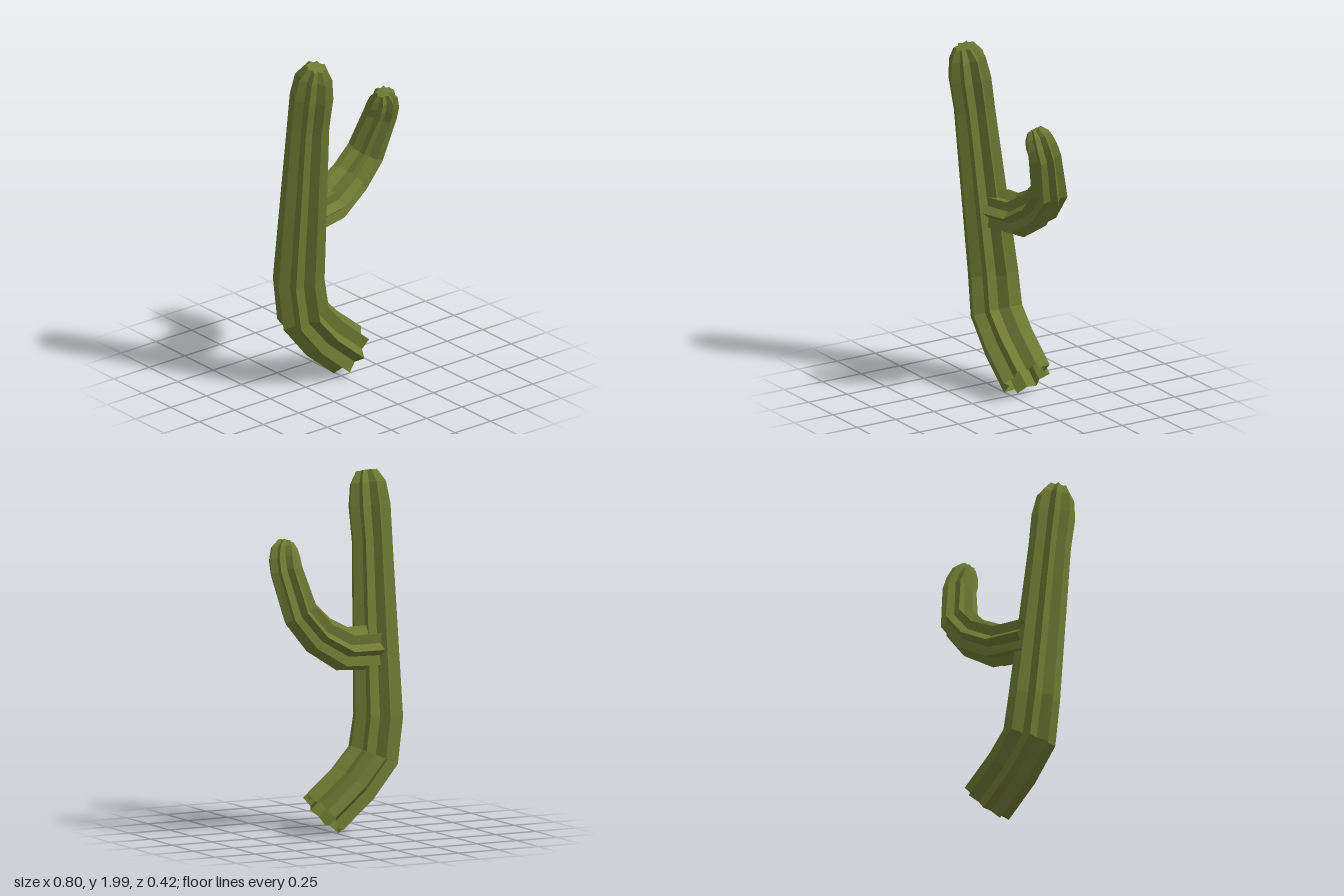
import * as THREE from 'three';

const RIBS = 8;
const VALLEY = 0.7; // valley radius relative to rib radius

// Sweeps a ribbed star section through rings of [x, y, z, radius]; the tip is capped, the base is open.
function ribbedStem(rings) {
  const centres = rings.map(([x, y, z]) => new THREE.Vector3(x, y, z));
  const last = rings.length - 1;
  const direction = (i) => centres[i + 1].clone().sub(centres[i]).normalize();
  const sides = RIBS * 2;

  const loops = rings.map((ring, i) => {
    const t = new THREE.Vector3();
    if (i > 0) t.add(direction(i - 1));
    if (i < last) t.add(direction(i));
    t.normalize();
    const u = new THREE.Vector3(0, 0, 1);
    u.addScaledVector(t, -u.dot(t)).normalize();
    const v = t.clone().cross(u);
    return Array.from({ length: sides }, (_, j) => {
      const a = (j / sides) * Math.PI * 2;
      const r = ring[3] * (j % 2 ? VALLEY : 1);
      return centres[i].clone()
        .addScaledVector(u, r * Math.cos(a))
        .addScaledVector(v, r * Math.sin(a));
    });
  });

  const points = [];
  for (let j = 0; j < sides; j++) {
    const k = (j + 1) % sides;
    for (let i = 0; i < last; i++) {
      const [a, b, c, d] = [loops[i][j], loops[i][k], loops[i + 1][k], loops[i + 1][j]];
      points.push(a, b, c, a, c, d);
    }
    points.push(centres[last], loops[last][j], loops[last][k]);
  }
  const geometry = new THREE.BufferGeometry().setFromPoints(points);
  geometry.computeVertexNormals();
  return geometry;
}

export function createModel() {
  const group = new THREE.Group();
  group.name = 'cactus';
  const green = new THREE.MeshStandardMaterial({
    color: 0x6f7a34, flatShading: true, side: THREE.DoubleSide,
  });
  green.name = 'cactusGreen';

  // Main stem, bent at the foot and leaning forward at the top
  const trunk = new THREE.Mesh(ribbedStem([
    [0.085, 0.125, -0.05, 0.15],
    [-0.10, 0.28, -0.05, 0.15],
    [-0.228, 0.43, -0.05, 0.15],
    [-0.26, 0.65, -0.048, 0.143],
    [-0.28, 1.61, 0.06, 0.117],
    [-0.28, 1.80, 0.09, 0.121],
    [-0.28, 1.92, 0.108, 0.104],
    [-0.28, 1.985, 0.127, 0.062],
  ]), green);
  trunk.name = 'trunk';

  // Side branch curving upward
  const arm = new THREE.Mesh(ribbedStem([
    [-0.22, 1.03, -0.045, 0.125],
    [-0.02, 1.04, -0.075, 0.123],
    [0.14, 1.132, -0.095, 0.113],
    [0.248, 1.255, -0.092, 0.106],
    [0.302, 1.49, -0.03, 0.094],
    [0.302, 1.555, -0.006, 0.09],
    [0.295, 1.61, 0.01, 0.075],
    [0.28, 1.645, 0.022, 0.045],
  ]), green);
  arm.name = 'arm';

  group.add(trunk, arm);
  return group;
}
